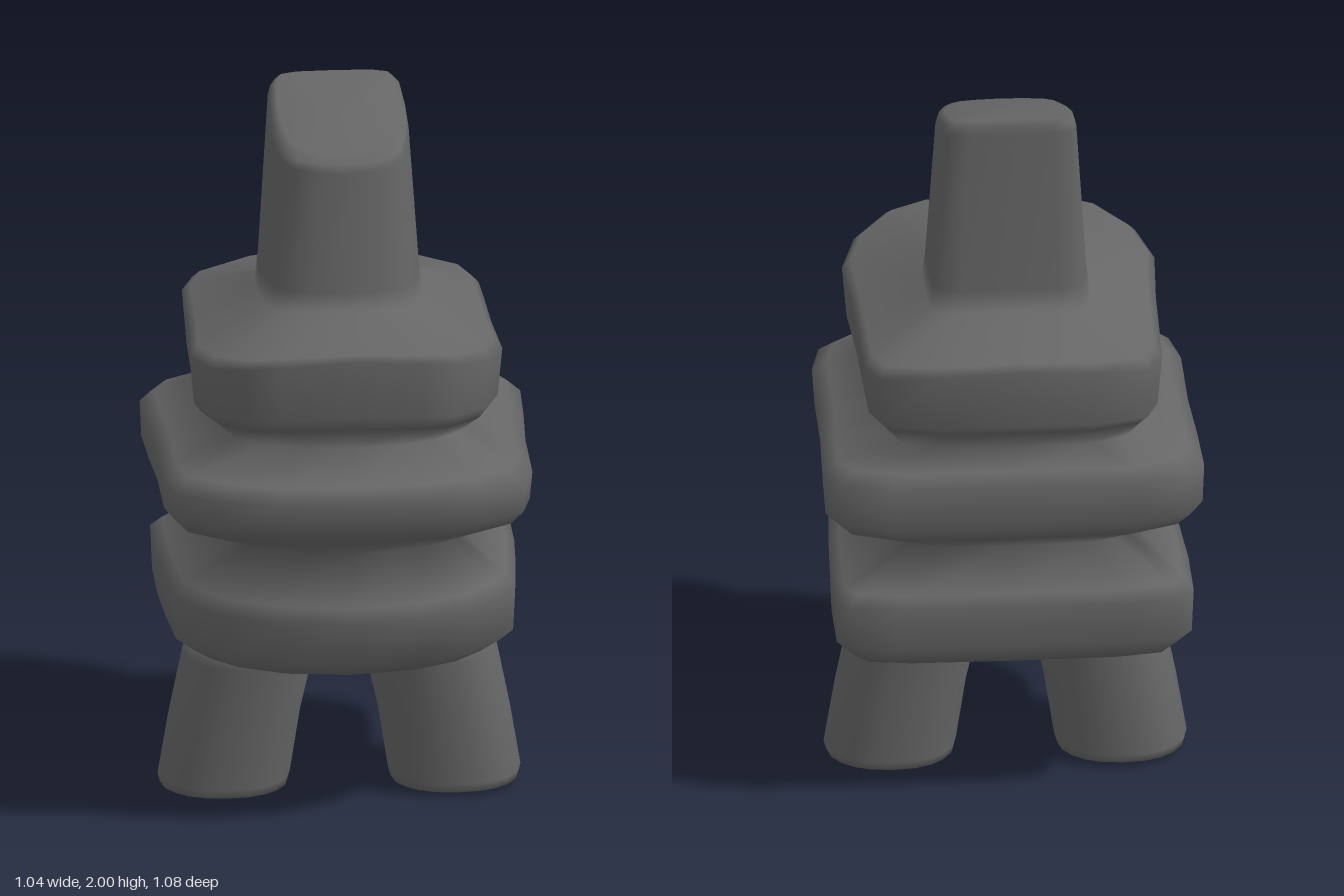
import * as THREE from 'three';

// Half outlines, from front centre round the +x side to back centre
const BASE = [[0, 1], [0.4, 0.94], [0.69, 0.78], [0.86, 0.58], [0.95, 0.4], [0.98, 0], [1, -0.4], [1, -0.84], [0.93, -0.94], [0.66, -0.99], [0, -1]];
const SLAB = [[0, 1], [0.4, 0.96], [0.68, 0.87], [0.92, 0.69], [0.97, 0.47], [0.97, 0], [0.99, -0.4], [1, -0.75], [0.925, -0.89], [0.66, -0.985], [0, -1]];
const TOP = [[0, 1], [0.45, 0.98], [0.68, 0.92], [0.9, 0.72], [1, 0.45], [0.97, 0], [0.96, -0.4], [0.95, -0.68], [0.87, -0.85], [0.52, -0.97], [0, -1]];
const BLOCK = [[0, 1], [0.4, 0.95], [0.69, 0.86], [0.85, 0.69], [0.95, 0.36], [1, 0], [0.99, -0.45], [0.96, -0.8], [0.88, -0.94], [0.62, -0.99], [0, -1]];
const FOOT = [[0, 1], [0.34, 0.96], [0.6, 0.83], [0.79, 0.64], [0.94, 0.36], [1, 0], [0.94, -0.36], [0.79, -0.64], [0.6, -0.83], [0.34, -0.96], [0, -1]];

// Each ring: outline, centre x, half width, front z, back z, front y, back y, side drop
function loft(rings, bottom, top) {
  const pos = [], index = [];
  let n = 0;
  for (const [half, cx, w, zf, zb, yf, yb, drop = 0] of rings) {
    const mirrored = half.slice(1, -1).reverse().map(([x, z]) => [-x, z]);
    const outline = [...half, ...mirrored];
    n = outline.length;
    for (const [x, f] of outline) {
      const t = (f + 1) / 2;
      pos.push(cx + x * w, yb + (yf - yb) * t - drop * x * x, zb + (zf - zb) * t);
    }
  }
  pos.push(...bottom, ...top);
  const b = rings.length * n, last = b - n;
  for (let j = 0; j < n; j++) {
    const k = (j + 1) % n;
    for (let i = 0; i < last; i += n) {
      index.push(i + j, i + k, i + n + k, i + j, i + n + k, i + n + j);
    }
    index.push(b, k, j, b + 1, last + j, last + k);
  }
  const geo = new THREE.BufferGeometry();
  geo.setAttribute('position', new THREE.Float32BufferAttribute(pos, 3));
  geo.setIndex(index);
  geo.computeVertexNormals();
  return geo;
}

export function createModel() {
  const group = new THREE.Group();
  const stone = new THREE.MeshStandardMaterial({ color: 0x666666 });
  const add = (name, geo) => {
    const mesh = new THREE.Mesh(geo, stone);
    mesh.name = name;
    group.add(mesh);
  };

  // Three stacked slabs with pinched waists, running up into the neck block
  add('stackedBody', loft([
    [BASE, 0, 0.3, 0.14, -0.26, 0.41, 0.41],
    [BASE, 0, 0.43, 0.31, -0.44, 0.45, 0.45],
    [BASE, 0, 0.485, 0.4, -0.47, 0.505, 0.505],
    [BASE, 0, 0.49, 0.43, -0.48, 0.64, 0.63],
    [BASE, 0, 0.46, 0.41, -0.455, 0.68, 0.66],
    [SLAB, 0, 0.3, 0.33, -0.37, 0.81, 0.765],
    [SLAB, 0, 0.48, 0.475, -0.47, 0.895, 0.835],
    [SLAB, 0, 0.515, 0.5, -0.525, 0.93, 0.89],
    [SLAB, 0, 0.52, 0.54, -0.52, 1.03, 1.02, 0.02],
    [SLAB, 0, 0.48, 0.49, -0.49, 1.06, 1.05, 0.01],
    [SLAB, 0, 0.33, 0.34, -0.43, 1.12, 1.095],
    [TOP, 0, 0.395, 0.435, -0.5, 1.21, 1.17, 0.02],
    [TOP, 0, 0.415, 0.45, -0.52, 1.25, 1.2, 0.03],
    [TOP, 0, 0.427, 0.475, -0.54, 1.42, 1.37, 0.06],
    [TOP, 0, 0.405, 0.45, -0.51, 1.433, 1.385, 0.045],
    [BLOCK, 0, 0.226, 0.183, -0.275, 1.46, 1.43, 0.01],
    [BLOCK, 0, 0.218, 0.175, -0.268, 1.51, 1.49],
    [BLOCK, 0, 0.19, 0.147, -0.262, 1.845, 1.96],
    [BLOCK, 0, 0.183, 0.138, -0.26, 1.868, 1.985],
    [BLOCK, 0, 0.165, 0.105, -0.252, 1.89, 2.0],
  ], [0, 0.41, -0.06], [0, 1.95, -0.07]));

  // Splayed, rounded legs, one each side
  for (const [name, s] of [['leftLeg', 1], ['rightLeg', -1]]) {
    add(name, loft([
      [FOOT, s * 0.315, 0.145, 0.06, -0.18, 0.005, 0.005],
      [FOOT, s * 0.315, 0.174, 0.085, -0.205, 0.014, 0.014],
      [FOOT, s * 0.315, 0.181, 0.094, -0.215, 0.04, 0.04],
      [FOOT, s * 0.286, 0.18, 0.108, -0.225, 0.22, 0.22],
      [FOOT, s * 0.248, 0.182, 0.13, -0.24, 0.4, 0.4],
      [FOOT, s * 0.24, 0.165, 0.13, -0.24, 0.46, 0.46],
    ], [s * 0.315, 0, -0.06], [s * 0.24, 0.47, -0.06]));
  }
  return group;
}
